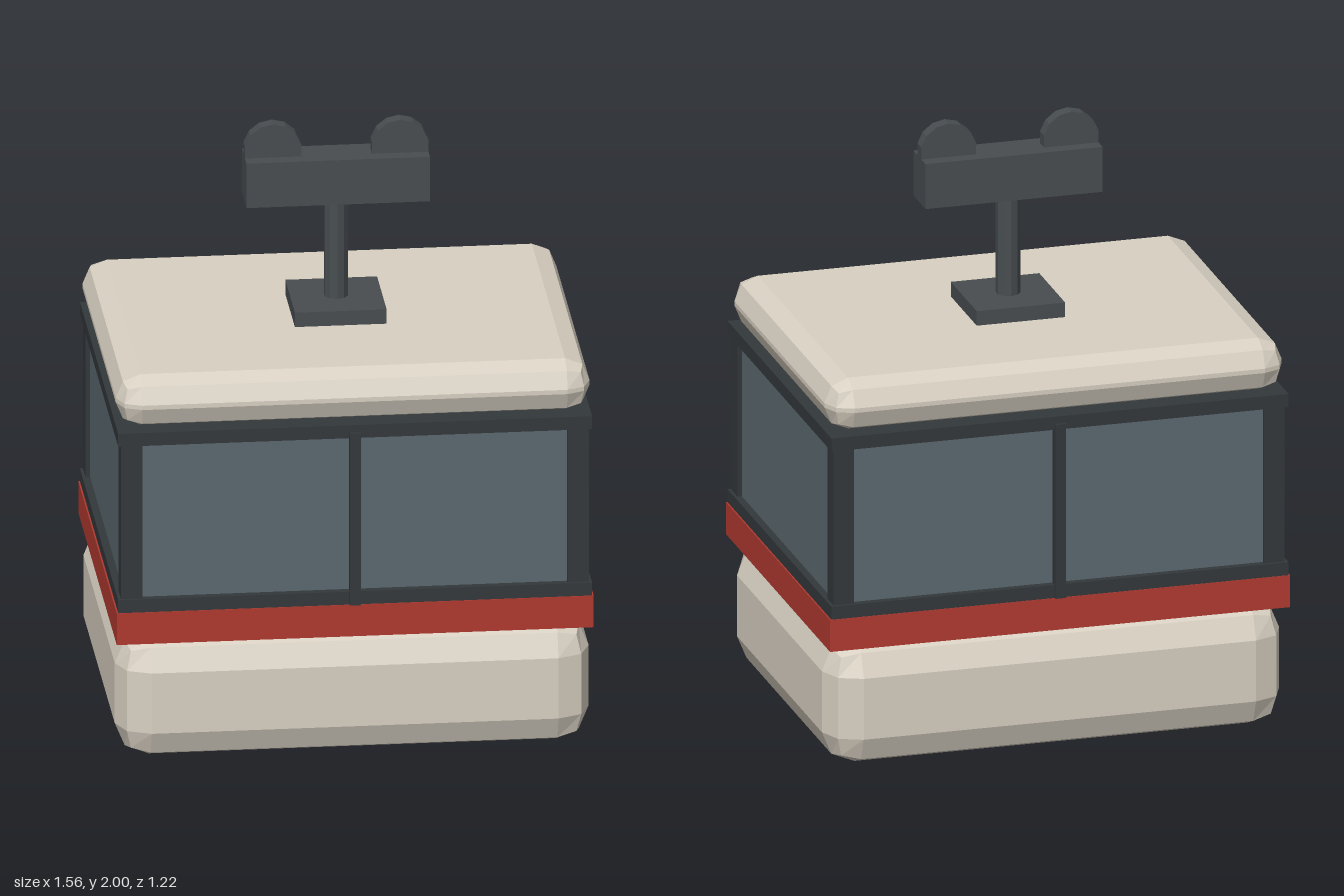
import * as THREE from 'three';
import { RoundedBoxGeometry } from 'three/addons/geometries/RoundedBoxGeometry.js';

const paint = (color) => new THREE.MeshStandardMaterial({ color, flatShading: true });

export function createModel() {
  const cream = paint(0xd8d0c2);
  const red = paint(0xb03a30);
  const frame = paint(0x33383b);
  const glass = paint(0x5a6870);
  const steel = paint(0x484d50);

  const model = new THREE.Group();
  model.name = 'cableCar';

  const add = (name, geometry, material, x, y, z, parent = model) => {
    const mesh = new THREE.Mesh(geometry, material);
    mesh.name = name;
    mesh.position.set(x, y, z);
    parent.add(mesh);
    return mesh;
  };
  // Box centred on (x, z), spanning y0 to y1
  const box = (name, material, w, d, y0, y1, x = 0, z = 0, parent = model) =>
    add(name, new THREE.BoxGeometry(w, y1 - y0, d), material, x, (y0 + y1) / 2, z, parent);
  // Box with one-step bevelled edges and corners
  const shell = (name, y0, y1, radius) =>
    add(name, new RoundedBoxGeometry(1.55, y1 - y0, 1.2, 1, radius), cream, 0, (y0 + y1) / 2, 0);

  // Cabin shells and belt
  shell('lowerBody', 0.005, 0.435, 0.11);
  shell('roof', 1.165, 1.34, 0.08);
  box('belt', red, 1.56, 1.205, 0.43, 0.54);

  // Window band and its frame
  box('windows', glass, 1.5, 1.15, 0.54, 1.16);
  const windowFrame = new THREE.Group();
  windowFrame.name = 'windowFrame';
  model.add(windowFrame);
  box('lowerRail', frame, 1.55, 1.2, 0.54, 0.585, 0, 0, windowFrame);
  box('upperRail', frame, 1.55, 1.2, 1.12, 1.165, 0, 0, windowFrame);
  for (const sz of [-1, 1]) {
    for (const sx of [-1, 1]) {
      box('cornerPost', frame, 0.07, 0.07, 0.54, 1.14, sx * 0.73, sz * 0.555, windowFrame);
    }
    box('mullion', frame, 0.036, 0.04, 0.54, 1.14, 0, sz * 0.59, windowFrame);
  }

  // Hanger with its carriage and rollers
  const hanger = new THREE.Group();
  hanger.name = 'hanger';
  model.add(hanger);
  box('mountingPlate', steel, 0.3, 0.3, 1.335, 1.39, 0, 0, hanger);
  add('hangerArm', new THREE.CylinderGeometry(0.04, 0.04, 0.36, 10), steel, 0, 1.56, 0, hanger);
  box('carriage', steel, 0.6, 0.14, 1.73, 1.885, 0, 0, hanger);
  const rollerGeometry = new THREE.CylinderGeometry(0.095, 0.095, 0.046, 14).rotateX(Math.PI / 2);
  for (const sx of [-1, 1]) add('roller', rollerGeometry, steel, sx * 0.208, 1.905, 0, hanger);

  return model;
}
